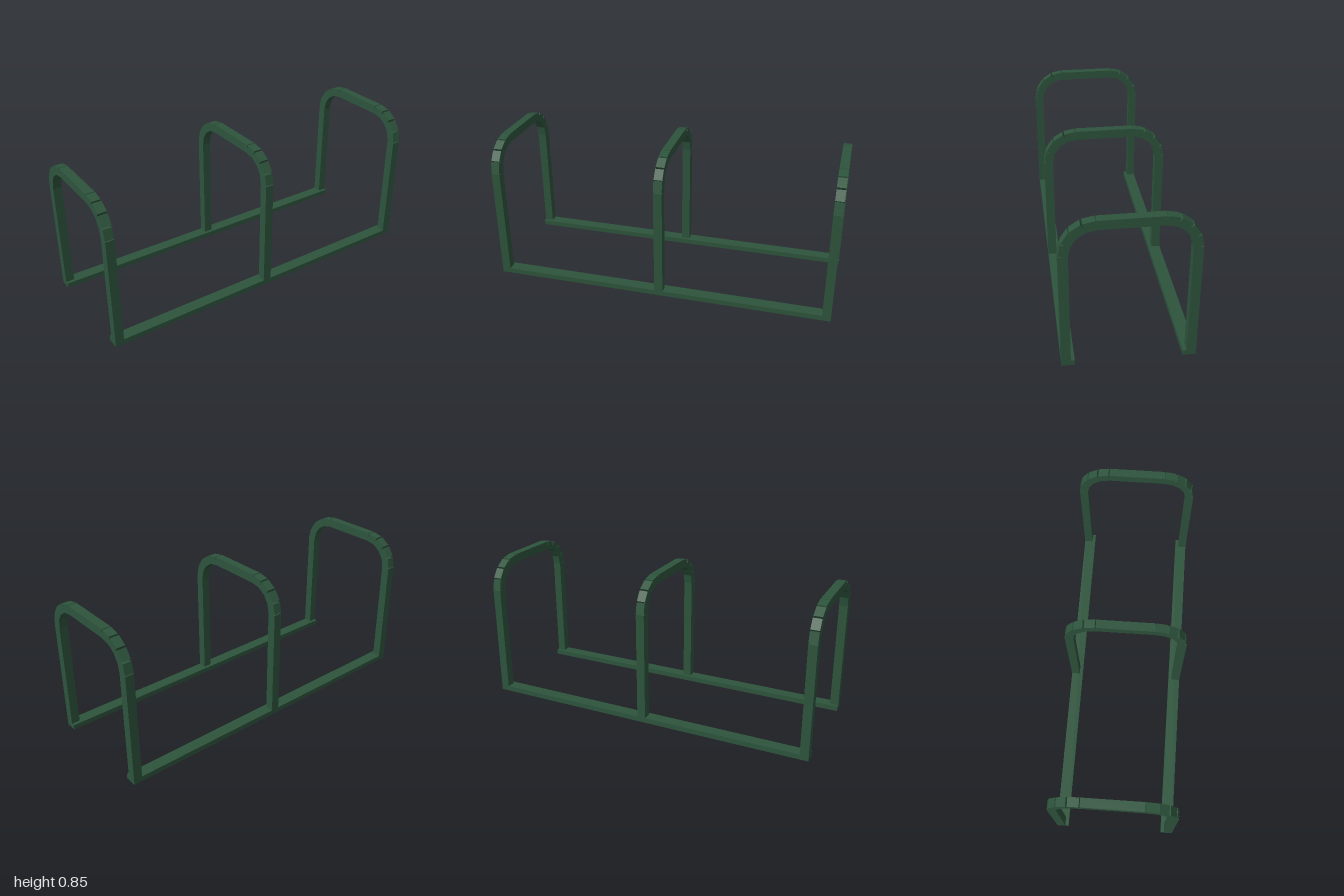
import * as THREE from 'three';

const BAR = 0.05;         // square tube width
const REACH = 0.325;      // tube centre line, distance from the middle in z
const BEND_Z = 0.165;     // bend centre
const BEND_Y = 0.665;
const RADIUS = REACH - BEND_Z;
const STEPS = 4;          // straight pieces in each bend

export function createModel() {
  const green = new THREE.MeshStandardMaterial({ color: 0x2d543c });
  green.name = 'dark green paint';
  const model = new THREE.Group();
  model.name = 'bicycleRack';

  function box(parent, name, w, h, d, x, y, z) {
    const mesh = new THREE.Mesh(new THREE.BoxGeometry(w, h, d), green);
    mesh.name = name;
    mesh.position.set(x, y, z);
    parent.add(mesh);
    return mesh;
  }

  // Hoops: two legs, a top bar and bends made of short straight pieces
  for (const x of [-0.975, 0, 0.975]) {
    const hoop = new THREE.Group();
    hoop.name = 'hoop';
    hoop.position.x = x;
    model.add(hoop);
    box(hoop, 'topBar', BAR, BAR, BEND_Z * 2, 0, BEND_Y + RADIUS, 0);
    for (const side of [-1, 1]) {
      box(hoop, 'leg', BAR, BEND_Y, BAR, 0, BEND_Y / 2, side * REACH);
      const step = Math.PI / 2 / STEPS;
      const length = 2 * RADIUS * Math.sin(step / 2);
      const mid = RADIUS * Math.cos(step / 2);
      for (let i = 0; i < STEPS; i++) {
        const a = (i + 0.5) * step;
        const piece = box(hoop, 'bendPiece', BAR, length, BAR, 0,
          BEND_Y + mid * Math.sin(a), side * (BEND_Z + mid * Math.cos(a)));
        piece.rotation.x = -side * a;
      }
    }
  }

  // Floor rails: channels open underneath, closed at both ends
  const wall = 0.006, railH = 0.03, railW = 0.07;
  for (const side of [-1, 1]) {
    const rail = new THREE.Group();
    rail.name = 'floorRail';
    rail.position.z = side * 0.315;
    model.add(rail);
    box(rail, 'railTop', 2, wall, railW, 0, railH - wall / 2, 0);
    for (const s of [-1, 1]) {
      box(rail, 'railWall', 2, railH - wall, wall, 0, (railH - wall) / 2, s * (railW - wall) / 2);
      box(rail, 'railEnd', wall, railH - wall, railW - 2 * wall, s * (1 - wall / 2), (railH - wall) / 2, 0);
    }
  }
  return model;
}
